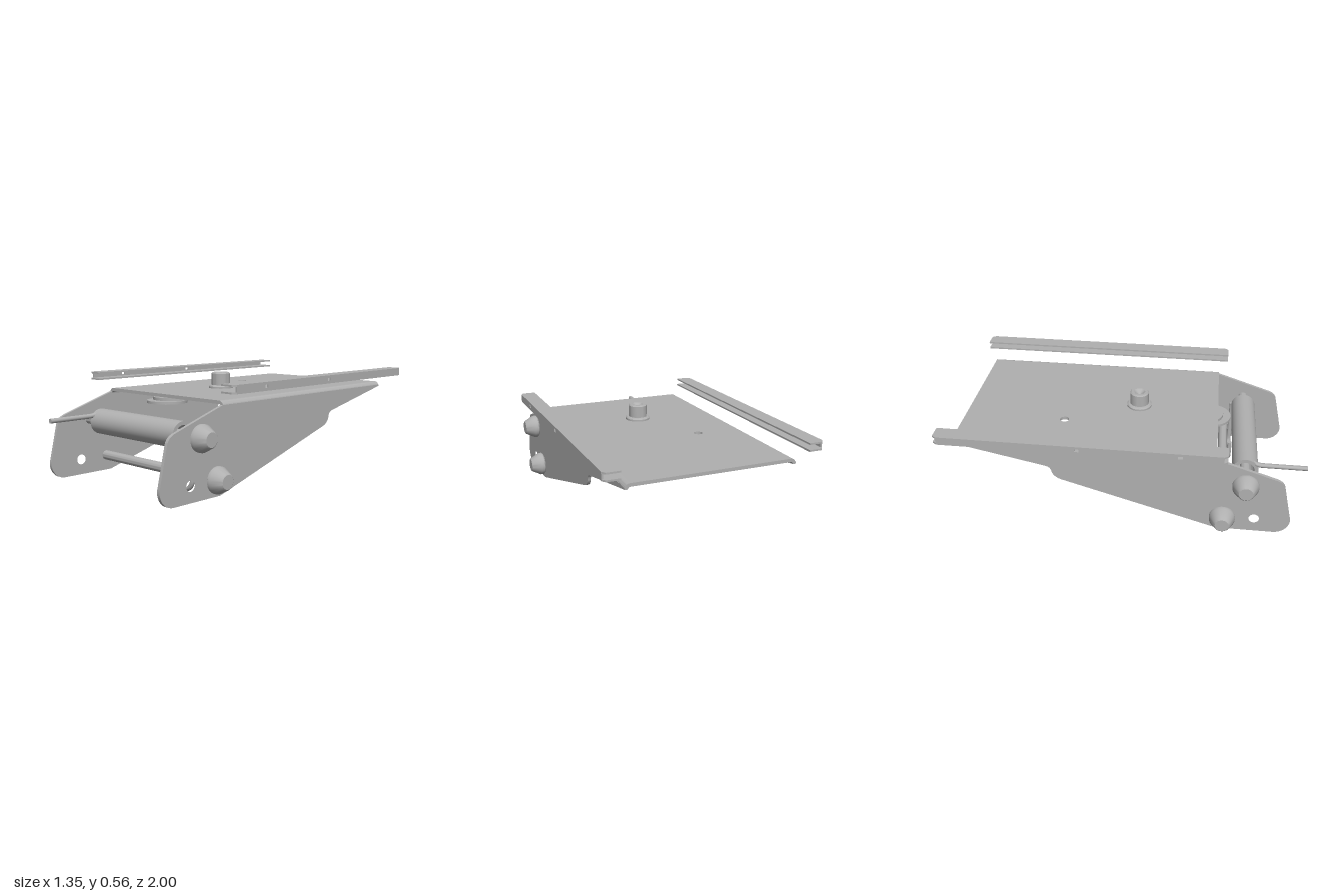
import * as THREE from 'three';
import { toCreasedNormals } from 'three/addons/utils/BufferGeometryUtils.js';

const steel = new THREE.MeshStandardMaterial({ color: 0xb0b0b0 });
steel.name = 'grey steel';

const HALF = 0.462; // half width of the folded channel
const T = 0.018; // sheet thickness

export function createModel() {
  const model = new THREE.Group();
  const body = new THREE.Group();
  body.name = 'couplerAssembly';
  body.position.set(-0.023, 0, -0.003);
  body.rotation.y = -0.131;
  model.add(body);

  const add = (name, geo, x = 0, y = 0, z = 0) => {
    const m = new THREE.Mesh(toCreasedNormals(geo, 0.6), steel);
    m.name = name;
    m.position.set(x, y, z);
    body.add(m);
    return m;
  };
  const extrude = (shape, depth) =>
    new THREE.ExtrudeGeometry(shape, { depth, bevelEnabled: false, curveSegments: 16 });
  const polygon = (pts) => new THREE.Shape(pts.map((p) => new THREE.Vector2(...p)));
  const lathe = (pts) => new THREE.LatheGeometry(pts.map((p) => new THREE.Vector2(...p)), 40);
  const roundHole = (shape, x, y, r) => shape.holes.push(new THREE.Path().absarc(x, y, r, 0, Math.PI * 2, true));
  // Plan shape (x, z) whose upper face lies at the height y
  const flatPlate = (name, shape, y, t) => add(name, extrude(shape, t).rotateX(Math.PI / 2), 0, y);
  // Upright shape (z, y) centred on the given x
  const uprightPlate = (name, shape, x, t) => add(name, extrude(shape, t).rotateY(-Math.PI / 2), x + t / 2);
  const bar = (name, pts, r) => {
    const path = new THREE.CurvePath();
    const v = pts.map((p) => new THREE.Vector3(...p));
    let from = v[0];
    // Straight runs joined by small bends
    for (let i = 1; i < v.length; i++) {
      const dir = v[i].clone().sub(v[i - 1]).normalize();
      const last = i === v.length - 1;
      const to = last ? v[i] : v[i].clone().addScaledVector(dir, -0.025);
      path.add(new THREE.LineCurve3(from, to));
      if (!last) {
        const next = v[i + 1].clone().sub(v[i]).normalize();
        from = v[i].clone().addScaledVector(next, 0.025);
        path.add(new THREE.QuadraticBezierCurve3(to, v[i], from));
      }
    }
    add(name, new THREE.TubeGeometry(path, 80, r, 12));
    for (const [p, q] of [[v[0], v[1]], [v[v.length - 1], v[v.length - 2]]]) {
      const cap = add(name + 'End', new THREE.CircleGeometry(r, 12), p.x, p.y, p.z);
      cap.quaternion.setFromUnitVectors(new THREE.Vector3(0, 0, 1), p.clone().sub(q).normalize());
    }
  };

  // Top sheet with its small hole
  const flat = HALF - 0.03;
  const sheet = polygon([[-flat, -0.875], [flat, -0.875], [flat, 0.535], [-flat, 0.535]]);
  roundHole(sheet, -0.2, -0.313, 0.025);
  flatPlate('topSheet', sheet, 0.475, T);

  // Side plate outline, with rounded nose and stepped underside
  const side = new THREE.Shape();
  side.moveTo(0.537, 0.455);
  side.lineTo(0.85, 0.352);
  side.quadraticCurveTo(0.895, 0.338, 0.903, 0.3);
  side.lineTo(0.95, 0.1);
  side.absarc(0.867, 0.085, 0.085, 0.18, -Math.PI / 2, true);
  side.lineTo(0.557, 0);
  side.lineTo(-0.29, 0.255);
  side.quadraticCurveTo(-0.335, 0.27, -0.343, 0.305);
  side.quadraticCurveTo(-0.347, 0.333, -0.375, 0.34);
  side.lineTo(-0.875, 0.447);
  side.lineTo(-0.875, 0.455);
  roundHole(side, 0.759, 0.085, 0.028);

  const axles = [['upper', 0.31, 0.695], ['lower', 0.087, 0.587]];

  for (const s of [1, -1]) {
    const label = s > 0 ? 'left' : 'right';
    uprightPlate(label + 'SidePlate', side, s * (HALF - T / 2), T);

    // Folded edge between top sheet and side plate
    const a = s > 0 ? 0 : Math.PI / 2;
    const bend = new THREE.Shape();
    bend.absarc(s * flat, 0.445, 0.03, a, a + Math.PI / 2, false);
    bend.absarc(s * flat, 0.445, 0.012, a + Math.PI / 2, a, true);
    add(label + 'FoldedEdge', extrude(bend, 1.41), 0, 0, -0.875);

    // Tapered end caps on the axles
    for (const [name, y, z] of axles) {
      const cap = lathe([[0, 0], [0.062, 0], [0.07, 0.008], [0.07, 0.026], [0.043, 0.078], [0.037, 0.083], [0, 0.083]]);
      add(`${label}${name}AxleCap`, cap.rotateZ(-s * Math.PI / 2), s * HALF, y, z);
    }

    // Guide rail: a channel open towards the middle
    const rail = polygon([
      [s * 0.498, -0.932], [s * 0.57, -0.932], [s * 0.585, -0.912],
      [s * 0.585, 0.567], [s * 0.57, 0.587], [s * 0.498, 0.587],
    ]);
    flatPlate(label + 'RailTop', rail, 0.565, 0.009);
    flatPlate(label + 'RailBottom', rail, 0.529, 0.009);
    const web = polygon([[-0.912, 0.529], [0.567, 0.529], [0.567, 0.556], [-0.912, 0.556]]);
    for (const z of [0.349, -0.176]) {
      web.holes.push(new THREE.Path([
        [z - 0.012, 0.535], [z - 0.012, 0.551], [z + 0.012, 0.551], [z + 0.012, 0.535],
      ].map((p) => new THREE.Vector2(...p))));
    }
    uprightPlate(label + 'RailWeb', web, s * 0.58, 0.01);
  }

  // Axle rods
  for (const [name, y, z] of axles) {
    add(name + 'Axle', new THREE.CylinderGeometry(0.027, 0.027, 2 * HALF, 32).rotateZ(Math.PI / 2), 0, y, z);
  }

  // Hollow roller sleeve
  const sleeve = lathe([[0.05, -0.339], [0.07, -0.339], [0.07, 0.339], [0.05, 0.339], [0.05, -0.339]]);
  add('rollerSleeve', sleeve.rotateZ(-Math.PI / 2), 0.004, 0.31, 0.695);

  // Handle and latch hook on the sleeve
  bar('handle', [[-0.327, 0.345, 1.022], [-0.327, 0.345, 0.76], [-0.31, 0.365, 0.7]], 0.013);
  bar('latchHook', [
    [0.163, 0.145, 0.627], [0.163, 0.04, 0.627], [0.2, 0.016, 0.627],
    [0.3, 0.016, 0.627], [0.334, 0.05, 0.627], [0.334, 0.32, 0.627],
  ], 0.013);

  // Pivot pin with flange and dished top
  add('pivotPin', lathe([
    [0, 0.455], [0.07, 0.455], [0.07, 0.485], [0.064, 0.491], [0.053, 0.493],
    [0.053, 0.559], [0.047, 0.565], [0.032, 0.565], [0, 0.54],
  ]), 0, 0, 0.085);

  // Lever housing under the sheet, with a disc at its front end
  const housing = new THREE.Shape();
  housing.absarc(0, 0.46, 0.105, 0, Math.PI, false);
  housing.absarc(0, 0.085, 0.105, Math.PI, Math.PI * 2, false);
  flatPlate('leverHousing', housing, 0.457, 0.016);
  add('leverDisc', new THREE.CylinderGeometry(0.11, 0.11, 0.014, 40), 0, 0.433, 0.497);

  return model;
}
